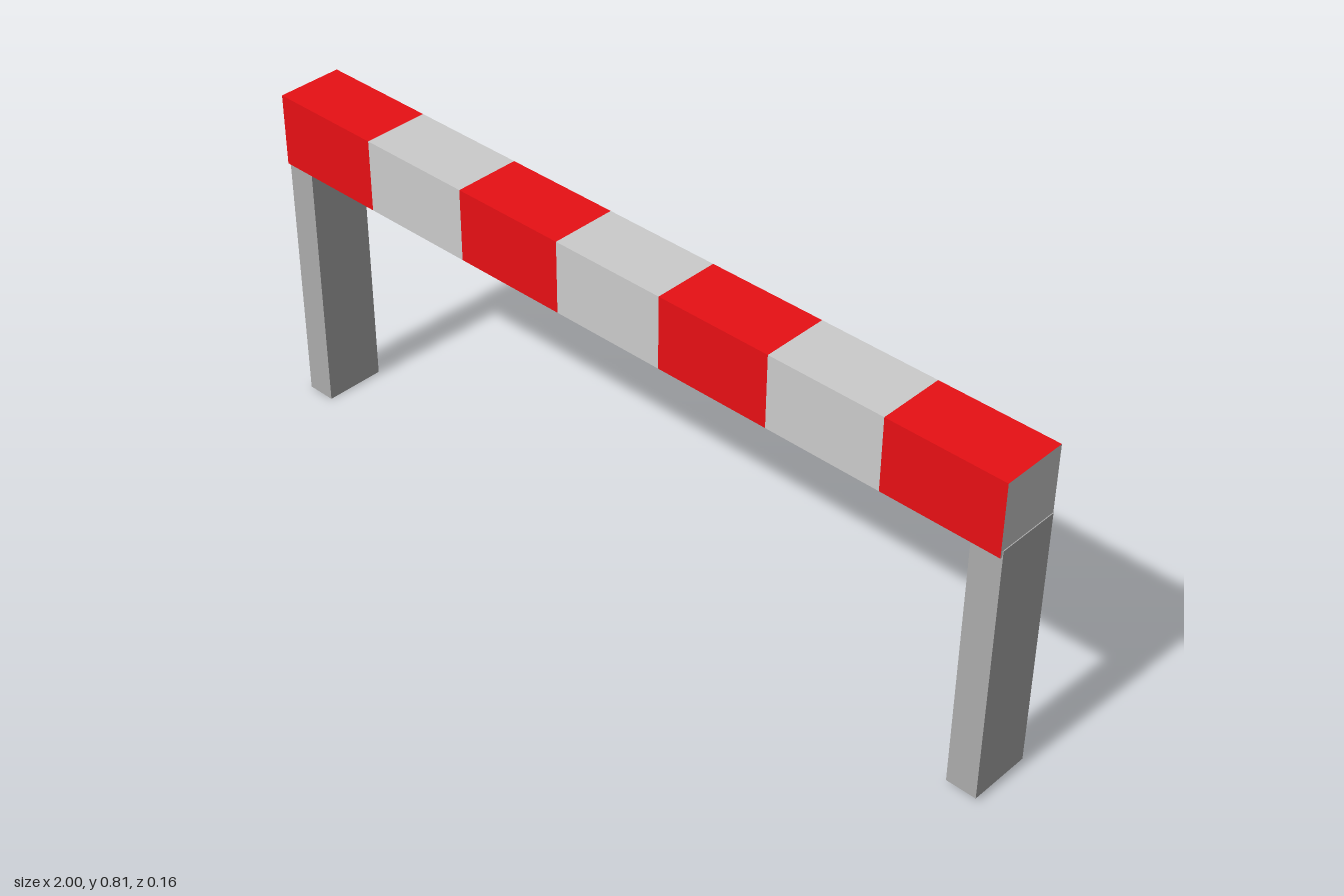
import * as THREE from 'three';

const grey = new THREE.MeshStandardMaterial({ color: 0xcccccc });
const legGrey = new THREE.MeshStandardMaterial({ color: 0xacacac });
const red = new THREE.MeshStandardMaterial({ color: 0xe81014 });

// Box given by its lower and upper limits on each axis
function box(name, [x0, x1], [y0, y1], [z0, z1], material) {
  const mesh = new THREE.Mesh(new THREE.BoxGeometry(x1 - x0, y1 - y0, z1 - z0), material);
  mesh.position.set((x0 + x1) / 2, (y0 + y1) / 2, (z0 + z1) / 2);
  mesh.name = name;
  return mesh;
}

export function createModel() {
  const model = new THREE.Group();
  model.name = 'barrier';

  // Striped beam: seven equal bands, red at both ends, with plain grey end faces
  const beam = new THREE.Group();
  beam.name = 'beam';
  const bands = 7, half = 0.998, width = (2 * half) / bands;
  for (let i = 0; i < bands; i++) {
    const isRed = i % 2 === 0;
    const side = isRed ? red : grey;
    const x = -half + i * width;
    beam.add(box(isRed ? 'redBand' : 'greyBand', [x, x + width], [0.63, 0.805], [-0.08, 0.08],
      [grey, grey, side, side, side, side]));
  }
  model.add(beam);

  // Legs, set a hair proud of the beam ends; the left one is slightly shorter
  model.add(box('rightLeg', [-1, -0.928], [0, 0.645], [-0.079, 0.072], legGrey));
  model.add(box('leftLeg', [0.926, 1], [0.01, 0.645], [-0.078, 0.075], legGrey));

  return model;
}
